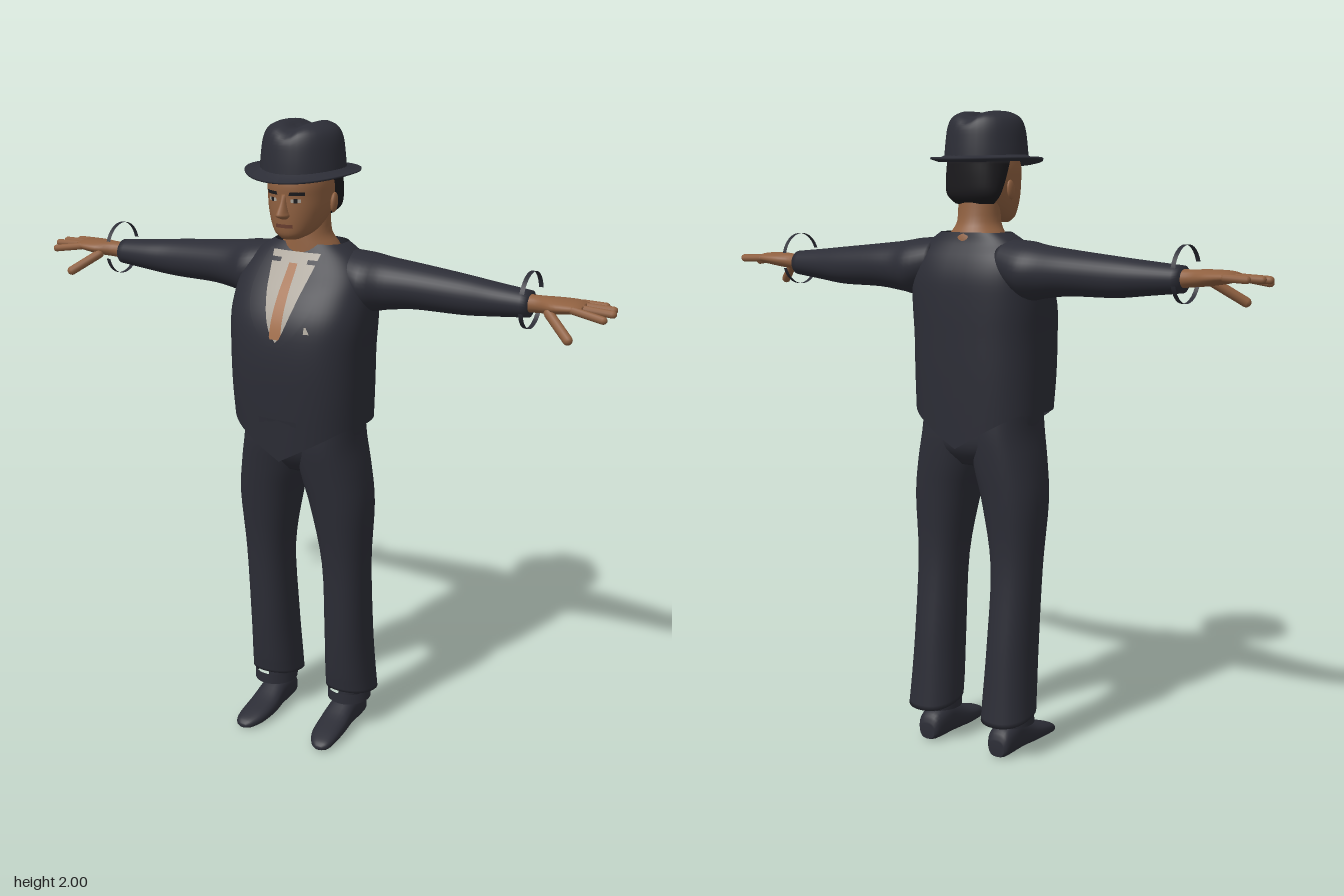
import * as THREE from 'three';

const mat = (name, color, side = THREE.FrontSide) => {
  const m = new THREE.MeshStandardMaterial({ color, side });
  m.name = name;
  return m;
};

// Maps (across, along, depth) to xyz for lofts running along y, x or z
const AXES = {
  y: (a, t, b) => [a, t, b],
  x: (a, t, b) => [t, b, a],
  z: (a, t, b) => [b, a, t],
};

// Smoothly resample sections [along, a0, a1, b0, b1]
function resample(sections, steps = 4) {
  const rows = [], n = sections.length;
  const at = (i) => sections[Math.max(0, Math.min(n - 1, i))];
  for (let i = 0; i < n - 1; i++) {
    for (let s = 0; s < steps; s++) {
      const u = s / steps;
      rows.push(at(i).map((p1, k) => {
        const p0 = at(i - 1)[k], p2 = at(i + 1)[k], p3 = at(i + 2)[k];
        return 0.5 * (2 * p1 + (p2 - p0) * u + (2 * p0 - 5 * p1 + 4 * p2 - p3) * u * u
          + (3 * p1 - p0 - 3 * p2 + p3) * u * u * u);
      }));
    }
  }
  rows.push(at(n - 1));
  return rows;
}

// Skin superellipse rings; bend(x, y, z) may return a moved point
function loft(sections, { axis = 'y', p = 2, caps = true, bend = null, n = 36 } = {}) {
  const rows = resample(sections), pos = [], idx = [];
  const put = (a, t, b) => {
    const v = AXES[axis](a, t, b);
    pos.push(...(bend ? bend(...v) : v));
  };
  const pw = (v) => Math.sign(v) * Math.abs(v) ** (2 / p);
  for (const [t, a0, a1, b0, b1] of rows) {
    for (let j = 0; j < n; j++) {
      const th = (j / n) * Math.PI * 2;
      put((a0 + a1) / 2 + (a1 - a0) / 2 * pw(Math.cos(th)), t, (b0 + b1) / 2 + (b1 - b0) / 2 * pw(Math.sin(th)));
    }
  }
  for (let i = 0; i < rows.length - 1; i++) {
    for (let j = 0; j < n; j++) {
      const a = i * n + j, b = i * n + (j + 1) % n;
      idx.push(a, a + n, b, b, a + n, b + n);
    }
  }
  if (caps) {
    for (const [r, flip] of [[0, false], [rows.length - 1, true]]) {
      const c = pos.length / 3, [t, a0, a1, b0, b1] = rows[r];
      put((a0 + a1) / 2, t, (b0 + b1) / 2);
      for (let j = 0; j < n; j++) {
        const a = r * n + j, b = r * n + (j + 1) % n;
        flip ? idx.push(c, b, a) : idx.push(c, a, b);
      }
    }
  }
  const g = new THREE.BufferGeometry();
  g.setAttribute('position', new THREE.Float32BufferAttribute(pos, 3));
  g.setIndex(idx);
  g.computeVertexNormals();
  return g;
}

// Front surface height of a y loft
function frontOf(sections, p) {
  const rows = resample(sections);
  return (x, y) => {
    let i = 0;
    while (i < rows.length - 2 && rows[i + 1][0] < y) i++;
    const u = THREE.MathUtils.clamp((y - rows[i][0]) / (rows[i + 1][0] - rows[i][0]), 0, 1);
    const [, a0, a1, b0, b1] = rows[i].map((v, k) => v + (rows[i + 1][k] - v) * u);
    const q = Math.min(1, Math.abs((x - (a0 + a1) / 2) / ((a1 - a0) / 2)));
    return (b0 + b1) / 2 + (b1 - b0) / 2 * (1 - q ** p) ** (1 / p);
  };
}

// Thin sheet lying on a front surface, between left(k) and right(k)
function patch(front, y0, y1, left, right, off = 0.005) {
  const g = new THREE.PlaneGeometry(1, 1, 8, 14), v = g.attributes.position;
  for (let i = 0; i < v.count; i++) {
    const k = v.getY(i) + 0.5, u = v.getX(i) + 0.5;
    const x = left(k) + (right(k) - left(k)) * u, y = y0 + (y1 - y0) * k;
    v.setXYZ(i, x, y, front(x, y) + off);
  }
  g.computeVertexNormals();
  return g;
}

function mirrored(geo) {
  const g = geo.clone().scale(-1, 1, 1), a = g.index.array;
  for (let i = 0; i < a.length; i += 3) [a[i], a[i + 1]] = [a[i + 1], a[i]];
  return g;
}

function finger(from, to, r) {
  const a = new THREE.Vector3(...from), b = new THREE.Vector3(...to), d = b.clone().sub(a);
  const q = new THREE.Quaternion().setFromUnitVectors(new THREE.Vector3(0, 1, 0), d.clone().normalize());
  const g = new THREE.CapsuleGeometry(r, d.length() - 2 * r, 4, 10).applyQuaternion(q);
  const c = a.add(b).multiplyScalar(0.5);
  return g.translate(c.x, c.y, c.z);
}

const sym = (rows) => rows.map(([y, r, z0, z1]) => [y, -r, r, z0, z1]);

export function createModel() {
  const group = new THREE.Group();
  group.name = 'manInSuit';
  const suit = mat('suit cloth', 0x2c2d36, THREE.DoubleSide);
  const skin = mat('skin', 0x8f6040);
  const shirt = mat('shirt', 0xaaa398, THREE.DoubleSide);
  const tie = mat('tie', 0xa5714d, THREE.DoubleSide);
  const hair = mat('hair', 0x1b1a1d, THREE.DoubleSide);
  const lip = mat('lips', 0x6c4031, THREE.DoubleSide);
  const add = (name, geo, m) => {
    const mesh = new THREE.Mesh(geo, m);
    mesh.name = name;
    group.add(mesh);
  };
  const pair = (name, geo, m) => {
    add(name + 'Left', geo, m);
    add(name + 'Right', mirrored(geo), m);
  };

  // Jacket body, hem drooping to a point at front and back
  const torso = sym([[1.09, 0.215, -0.17, 0.16], [1.2, 0.218, -0.175, 0.175], [1.32, 0.22, -0.176, 0.178],
    [1.42, 0.225, -0.176, 0.163], [1.5, 0.22, -0.172, 0.122], [1.56, 0.205, -0.155, 0.075],
    [1.605, 0.165, -0.13, 0.042], [1.638, 0.115, -0.12, 0.02]]);
  const chest = frontOf(torso, 2.7);
  add('jacket', loft(torso, {
    p: 2.7, caps: false, n: 64,
    bend: (x, y, z) => [x, y - Math.max(0, (1.2 - y) / 0.11) * 0.11 * Math.max(0, 1 - Math.abs(x) / 0.19), z],
  }), suit);

  // Shirt front, tie, lapels, pocket square, waist band
  const open = (k) => 0.085 * k ** 0.6;
  add('shirtFront', patch(chest, 1.365, 1.615, (k) => -open(k), open), shirt);
  add('tie', patch(chest, 1.375, 1.585, (k) => -0.014 - 0.006 * (1 - k), (k) => 0.014 + 0.006 * (1 - k), 0.009), tie);
  pair('lapel', patch(chest, 1.355, 1.62, (k) => open(k) - 0.004,
    (k) => open(k) + 0.055 * Math.sin(Math.PI * Math.min(1, 0.1 + k * 0.85)), 0.012), suit);
  pair('shirtCollarEdge', patch(chest, 1.585, 1.597, () => 0.045, () => 0.085, 0.009), suit);
  add('pocketSquare', patch(chest, 1.4, 1.42, () => 0.09, (k) => 0.108 - 0.012 * k, 0.006), shirt);
  add('waistBand', patch(chest, 1.095, 1.12, () => -0.065, () => 0.065, 0.006), suit);

  // Sleeves with a loose broken band round each wrist
  pair('sleeve', loft([[0.12, -0.14, 0.03, 1.48, 1.62], [0.2, -0.16, 0.05, 1.44, 1.615],
    [0.26, -0.15, 0.022, 1.447, 1.605], [0.35, -0.145, 0.005, 1.458, 1.595], [0.5, -0.13, -0.01, 1.46, 1.58],
    [0.6, -0.115, -0.01, 1.47, 1.57], [0.71, -0.1, -0.015, 1.482, 1.56]], { axis: 'x' }), suit);
  for (const start of [0.4, 3.5]) {
    pair('wristBand', new THREE.CylinderGeometry(0.083, 0.083, 0.014, 20, 1, true, start, 2.5)
      .rotateZ(Math.PI / 2).translate(0.712, 1.535, -0.05), suit);
  }

  // Hands
  pair('palm', loft([[0.69, -0.085, -0.03, 1.495, 1.55], [0.74, -0.085, -0.025, 1.5, 1.55],
    [0.79, -0.1, 0, 1.505, 1.552], [0.85, -0.105, 0.002, 1.515, 1.55], [0.875, -0.095, -0.01, 1.523, 1.542]],
  { axis: 'x', n: 20 }), skin);
  const fingers = [[-0.094, 0.93, -0.1, 1.53], [-0.066, 0.962, -0.068, 1.53], [-0.037, 0.97, -0.034, 1.527],
    [-0.01, 0.955, 0.003, 1.515]];
  for (const [z, tipX, tipZ, tipY] of fingers) {
    pair('finger', finger([0.84, 1.533, z], [tipX, tipY, tipZ], 0.0115), skin);
  }
  pair('thumb', finger([0.77, 1.52, -0.02], [0.868, 1.45, 0.045], 0.0145), skin);

  // Trousers
  add('trouserSeat', loft(sym([[0.92, 0.08, -0.1, 0.06], [0.97, 0.16, -0.14, 0.1], [1.03, 0.187, -0.147, 0.12],
    [1.13, 0.19, -0.14, 0.12]]), { p: 2.3 }), suit);
  pair('trouserLeg', loft([[0.11, 0.06, 0.222, -0.17, 0.013], [0.2, 0.062, 0.218, -0.16, 0.022],
    [0.35, 0.067, 0.213, -0.145, 0.037], [0.6, 0.066, 0.215, -0.12, 0.055], [0.8, 0.032, 0.225, -0.13, 0.085],
    [0.92, 0.002, 0.212, -0.14, 0.105], [1.02, -0.005, 0.192, -0.145, 0.12], [1.1, 0, 0.185, -0.14, 0.118]], {
    p: 2.3,
    bend: (x, y, z) => [x, y + Math.max(0, 0.2 - y) * 0.4 * THREE.MathUtils.clamp((z + 0.17) / 0.18, 0, 1), z],
  }), suit);
  pair('trouserCuff', loft([[0.1, 0.07, 0.212, -0.135, 0.015], [0.135, 0.068, 0.212, -0.14, 0.013]],
    { caps: false }), suit);

  // Ankles and shoes
  pair('sock', loft([[0.05, 0.1, 0.17, -0.12, -0.03], [0.2, 0.1, 0.175, -0.11, -0.03]], { n: 16 }), suit);
  pair('shoe', loft([[-0.14, 0.004, 0.055, 0.108, 0.162], [-0.125, 0, 0.085, 0.095, 0.175],
    [-0.08, 0, 0.105, 0.088, 0.18], [-0.03, 0, 0.098, 0.088, 0.178], [0.04, 0, 0.065, 0.084, 0.182],
    [0.11, 0, 0.045, 0.092, 0.182], [0.15, 0, 0.03, 0.112, 0.174], [0.165, 0.005, 0.016, 0.132, 0.155]],
  { axis: 'z', p: 2.5, n: 24 }), suit);

  // Neck and head
  add('neck', loft(sym([[1.57, 0.11, -0.13, 0.04], [1.625, 0.092, -0.125, 0.036], [1.67, 0.068, -0.102, 0.032],
    [1.75, 0.068, -0.09, 0.02]])), skin);
  const skull = sym([[1.664, 0.028, 0.04, 0.105], [1.68, 0.055, -0.01, 0.117], [1.71, 0.075, -0.06, 0.122],
    [1.75, 0.089, -0.095, 0.124], [1.79, 0.094, -0.105, 0.124], [1.83, 0.095, -0.108, 0.125], [1.88, 0.085, -0.1, 0.11]]);
  const face = frontOf(skull, 2.2);
  add('head', loft(skull, { p: 2.2 }), skin);
  add('nose', loft(sym([[1.728, 0.012, 0.1, 0.13], [1.738, 0.02, 0.09, 0.154], [1.75, 0.016, 0.09, 0.153],
    [1.775, 0.011, 0.09, 0.137], [1.8, 0.012, 0.09, 0.126]]), { n: 16 }), skin);
  pair('ear', new THREE.SphereGeometry(1, 14, 10).scale(0.009, 0.03, 0.018).rotateX(-0.2).translate(0.098, 1.765, -0.008), skin);
  add('hair', loft(sym([[1.722, 0.066, -0.088, -0.03], [1.75, 0.092, -0.11, -0.02], [1.8, 0.1, -0.115, 0.01],
    [1.85, 0.1, -0.116, 0.04]]), { p: 2.2 }), hair);

  // Facial details
  pair('eye', patch(face, 1.778, 1.788, () => 0.024, () => 0.052, 0.002), shirt);
  pair('iris', patch(face, 1.777, 1.789, () => 0.033, () => 0.043, 0.003), hair);
  pair('eyebrow', patch(face, 1.798, 1.808, (k) => 0.018 + 0.004 * k, () => 0.062, 0.003), hair);
  add('mouth', patch(face, 1.701, 1.712, () => -0.028, () => 0.028, 0.003), lip);

  // Hat: creased crown and curled brim
  add('hatCrown', loft(sym([[1.85, 0.13, -0.126, 0.134], [1.9, 0.126, -0.122, 0.13], [1.95, 0.119, -0.115, 0.122],
    [1.98, 0.104, -0.102, 0.108], [1.996, 0.075, -0.075, 0.08], [2.0, 0.05, -0.05, 0.055], [2.0, 0.02, -0.03, 0.03]]), {
    bend: (x, y, z) => [x, y - 0.018 * Math.exp(-((x / 0.028) ** 2)) * THREE.MathUtils.clamp((y - 1.94) / 0.04, 0, 1), z],
  }), suit);
  const rim = [[0.11, 1.85], [0.15, 1.831], [0.172, 1.833], [0.174, 1.838], [0.15, 1.84], [0.11, 1.868]];
  const brim = new THREE.LatheGeometry(rim.map(([r, y]) => new THREE.Vector2(r, y)), 48);
  const bv = brim.attributes.position;
  for (let i = 0; i < bv.count; i++) {
    const x = bv.getX(i), z = bv.getZ(i);
    bv.setY(i, bv.getY(i) + 0.025 * (x / 0.174) ** 2 + (z < 0 ? 0.02 : 0.006) * (z / 0.174) ** 2);
  }
  brim.translate(0, 0, 0.006).computeVertexNormals();
  add('hatBrim', brim, suit);
  return group;
}
